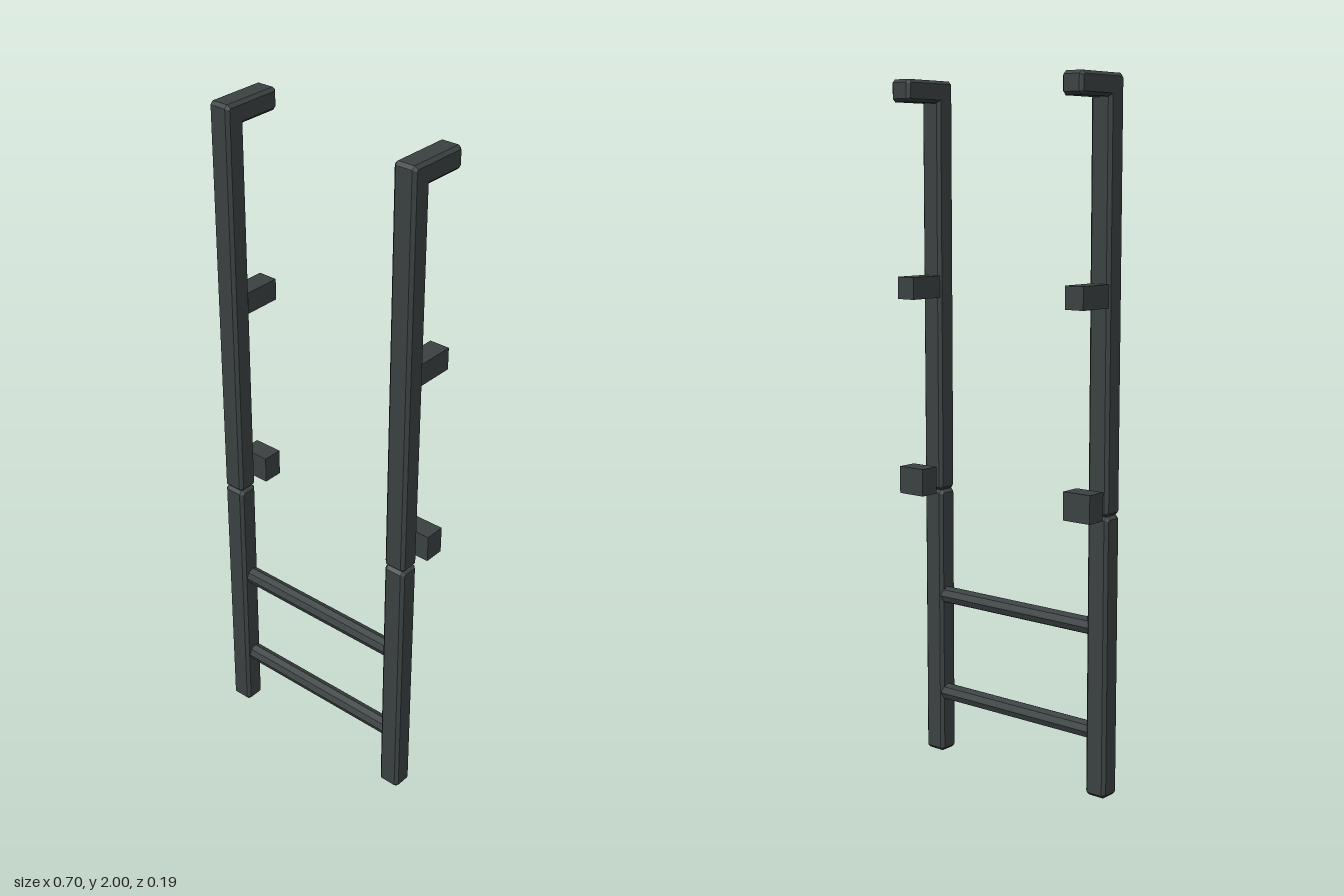
import * as THREE from 'three';

const RAIL_X = 0.303, RAIL_W = 0.068, CHAMFER = 0.009;
const FRONT = 0.095, BACK = 0.032, HOOK_END = -0.095, JOINT = 0.81;

// Side outline in (z, y) with every convex corner cut, extruded across x with chamfered edges
function chamferedBar(points) {
  const corners = points.map(([z, y]) => new THREE.Vector2(z, y));
  const outline = [];
  corners.forEach((p, i) => {
    const n = corners.length;
    const toPrev = corners[(i + n - 1) % n].clone().sub(p).normalize();
    const toNext = corners[(i + 1) % n].clone().sub(p).normalize();
    if (toNext.cross(toPrev) < 0) outline.push(p);
    else outline.push(p.clone().addScaledVector(toPrev, CHAMFER), p.clone().addScaledVector(toNext, CHAMFER));
  });
  const depth = RAIL_W - 2 * CHAMFER;
  return new THREE.ExtrudeGeometry(new THREE.Shape(outline), {
    depth, steps: 1, bevelEnabled: true, bevelSegments: 1,
    bevelSize: CHAMFER, bevelThickness: CHAMFER, bevelOffset: -CHAMFER,
  }).translate(0, 0, -depth / 2).rotateY(-Math.PI / 2);
}

export function createModel() {
  const model = new THREE.Group();
  model.name = 'ladderFrame';
  const steel = new THREE.MeshStandardMaterial({ color: 0x3b4142, flatShading: true });
  steel.name = 'darkSteel';

  const add = (parent, name, geometry, x, y, z) => {
    const mesh = new THREE.Mesh(geometry, steel);
    mesh.name = name;
    mesh.position.set(x, y, z);
    parent.add(mesh);
  };

  const lowerRail = chamferedBar([[BACK, 0], [FRONT, 0], [FRONT, JOINT], [BACK, JOINT]]);
  // Upper rail turns backward into a hook at the top
  const upperRail = chamferedBar([
    [BACK, JOINT], [FRONT, JOINT], [FRONT, 2], [HOOK_END, 2], [HOOK_END, 1.937], [BACK, 1.937],
  ]);
  const bracket = new THREE.BoxGeometry(0.06, 0.064, 0.113);
  const clampBlock = new THREE.BoxGeometry(0.09, 0.08, 0.061);

  // Two mirrored rail assemblies
  for (const [side, sign] of [['left', 1], ['right', -1]]) {
    const rail = new THREE.Group();
    rail.name = side + 'Rail';
    rail.position.x = sign * RAIL_X;
    model.add(rail);
    add(rail, 'lowerRail', lowerRail, 0, 0, 0);
    add(rail, 'upperHookRail', upperRail, 0, 0, 0);
    add(rail, 'wallBracket', bracket, 0, 1.414, -0.0205);
    add(rail, 'clampBlock', clampBlock, 0, 0.848, -0.0305);
  }

  // Eight-sided rungs between the lower rails
  const rung = new THREE.CylinderGeometry(0.0255, 0.0255, 0.55, 8).rotateZ(Math.PI / 2);
  [0.185, 0.488].forEach((y, i) => add(model, 'rung' + (i + 1), rung, 0, y, 0.0585));

  return model;
}
